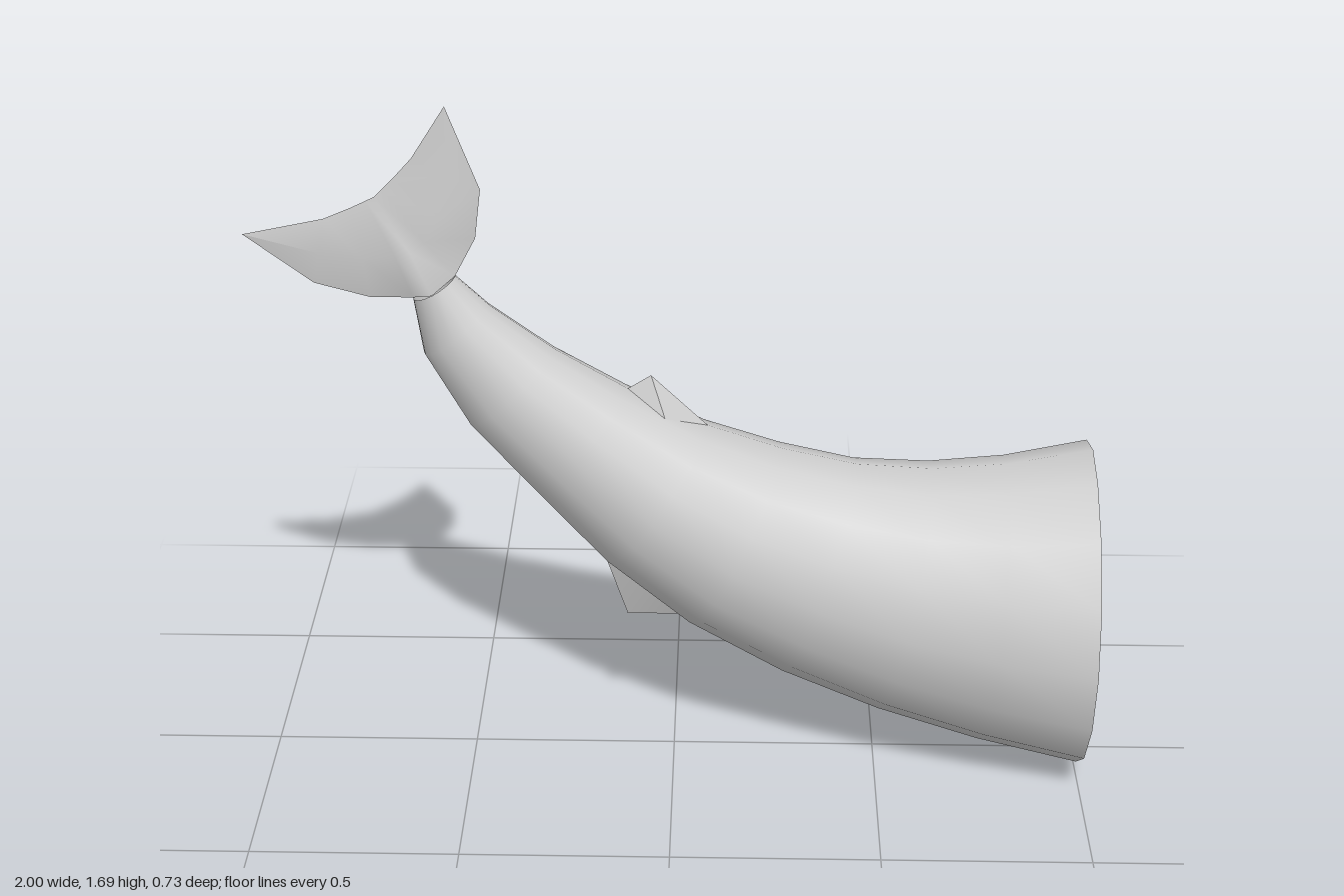
import * as THREE from 'three';
import { toCreasedNormals } from 'three/addons/utils/BufferGeometryUtils.js';

const material = new THREE.MeshStandardMaterial({ color: 0xcccccc, side: THREE.DoubleSide });

// Skin a list of equally long rows of [x, y, z] points.
function loft(rows, closed) {
  const n = rows[0].length, index = [];
  for (let r = 0; r < rows.length - 1; r++) {
    for (let c = 0; c < (closed ? n : n - 1); c++) {
      const d = (c + 1) % n;
      const a = r * n + c, b = r * n + d;
      index.push(a, a + n, b, b, a + n, b + n);
    }
  }
  const g = new THREE.BufferGeometry();
  g.setAttribute('position', new THREE.Float32BufferAttribute(rows.flat(2), 3));
  g.setIndex(index);
  g.computeVertexNormals();
  return g;
}

function add(group, name, geometry) {
  const mesh = new THREE.Mesh(geometry, material);
  mesh.name = name;
  group.add(mesh);
}

// Body sections: back x, y, belly x, y, half width
const SECTIONS = [
  [1, 0.84, 1, 0.0, 0.365],
  [0.8, 0.8, 0.75, 0.06, 0.32],
  [0.62, 0.785, 0.5, 0.14, 0.28],
  [0.44, 0.795, 0.26, 0.24, 0.237],
  [0.26, 0.835, 0.03, 0.375, 0.222],
  [0.08, 0.895, -0.17, 0.54, 0.185],
  [-0.11, 0.99, -0.34, 0.73, 0.145],
  [-0.28, 1.09, -0.49, 0.9, 0.11],
  [-0.43, 1.2, -0.59, 1.08, 0.078],
  [-0.51, 1.275, -0.61, 1.22, 0.055],
];

function ring([tx, ty, bx, by, w], sides = 16) {
  return Array.from({ length: sides }, (_, i) => {
    const a = (i / sides) * Math.PI * 2, s = Math.sin(a), t = (1 - Math.cos(a)) / 2;
    return [tx + (bx - tx) * t, ty + (by - ty) * t, w * Math.sign(s) * Math.abs(s) ** 1.18];
  });
}

// Fluke rows from one tip to the other: leading edge, thick middle, trailing edge
const FLUKE = [
  [[-1, 1.375, 0], [-1, 1.375, 0], [-1, 1.375, 0]],
  [[-0.84, 1.255, 0], [-0.825, 1.335, 0.013], [-0.81, 1.415, 0]],
  [[-0.71, 1.22, 0], [-0.72, 1.325, 0.022], [-0.745, 1.443, 0]],
  [[-0.61, 1.22, 0], [-0.645, 1.335, 0.028], [-0.71, 1.46, 0]],
  [[-0.56, 1.2475, 0.055], [-0.61, 1.345, 0.03], [-0.69, 1.47, 0]],
  [[-0.51, 1.275, 0], [-0.575, 1.37, 0.028], [-0.67, 1.49, 0]],
  [[-0.46, 1.37, 0], [-0.54, 1.43, 0.022], [-0.645, 1.515, 0]],
  [[-0.445, 1.49, 0], [-0.52, 1.525, 0.013], [-0.6, 1.565, 0]],
  [[-0.52, 1.69, 0], [-0.52, 1.69, 0], [-0.52, 1.69, 0]],
];

// Small fin: a four-sided tent from its base points to the tip
function fin(start, end, side, tip) {
  const base = [[...start, 0], side, [...end, 0], [side[0], side[1], -side[2]]];
  return toCreasedNormals(loft([base, base.map(() => [...tip, 0])], true), 0.7);
}

export function createModel() {
  const group = new THREE.Group();

  // Hollow body, open at the wide end
  add(group, 'body', loft(SECTIONS.map((s) => ring(s)), true));

  // Two curved faces of the tail fluke
  add(group, 'flukeFront', loft(FLUKE, false));
  const mirrored = FLUKE.map((row) => row.map(([x, y, z]) => [x, y, -z]).reverse());
  add(group, 'flukeBack', loft(mirrored, false));

  // Fins on the back and the belly
  add(group, 'dorsalFin', fin([0.08, 0.895], [-0.11, 0.99], [-0.02, 0.93, 0.045], [-0.055, 1.025]));
  add(group, 'bellyFin', fin([-0.17, 0.54], [0.03, 0.375], [-0.07, 0.47, 0.045], [-0.115, 0.375]));

  return group;
}
